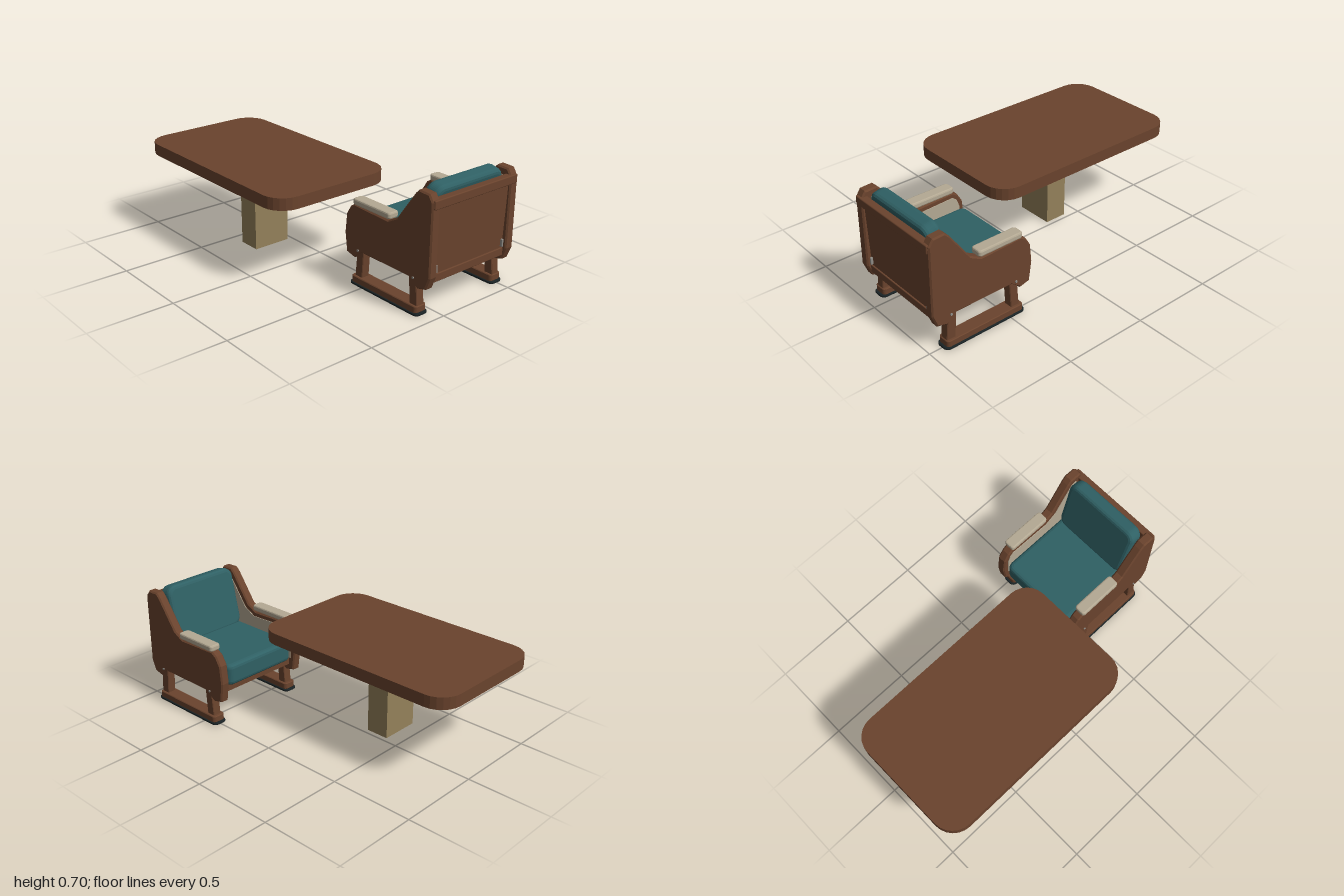
import * as THREE from 'three';
import { RoundedBoxGeometry } from 'three/addons/geometries/RoundedBoxGeometry.js';

const mat = (name, color, extra = {}) => {
  const m = new THREE.MeshStandardMaterial({ color, ...extra });
  m.name = name;
  return m;
};

// Rounded rectangle centred on the origin
function roundedRect(w, h, r) {
  const s = new THREE.Shape(), x = w / 2 - r, y = h / 2 - r;
  s.absarc(x, y, r, 0, Math.PI / 2);
  s.absarc(-x, y, r, Math.PI / 2, Math.PI);
  s.absarc(-x, -y, r, Math.PI, Math.PI * 1.5);
  s.absarc(x, -y, r, Math.PI * 1.5, Math.PI * 2);
  s.closePath();
  return s;
}

const polygon = (pts) => new THREE.Shape(pts.map(([x, y]) => new THREE.Vector2(x, y)));

// Extrusion centred on its thickness, with an inward bevel
function slab(shape, depth, bevel = 0, curveSegments = 3, bevelSegments = 1) {
  const g = new THREE.ExtrudeGeometry(shape, {
    depth: depth - 2 * bevel, bevelEnabled: bevel > 0, bevelSize: bevel, bevelThickness: bevel,
    bevelOffset: -bevel, bevelSegments, curveSegments,
  });
  return g.translate(0, 0, -(depth - 2 * bevel) / 2);
}

export function createModel() {
  const wood = mat('brown wood', 0x6a432d);
  const post = mat('pale wood', 0x94815a);
  const teal = mat('teal upholstery', 0x2f6064);
  const cream = mat('cream padding', 0xb4a993);
  const black = mat('black rubber', 0x1a2325);
  const metal = mat('grey metal', 0x8f8c86);

  const root = new THREE.Group();
  const add = (parent, name, geometry, material, x = 0, y = 0, z = 0) => {
    const m = new THREE.Mesh(geometry, material);
    m.name = name;
    m.position.set(x, y, z);
    parent.add(m);
    return m;
  };
  const box = (parent, name, material, [x0, x1], [y0, y1], [z0, z1], r = 0) => {
    const d = [x1 - x0, y1 - y0, z1 - z0];
    const g = r ? new RoundedBoxGeometry(...d, 2, r) : new THREE.BoxGeometry(...d);
    return add(parent, name, g, material, (x0 + x1) / 2, (y0 + y1) / 2, (z0 + z1) / 2);
  };

  // Table
  const table = new THREE.Group();
  table.name = 'table';
  root.add(table);
  add(table, 'tableTop', slab(roundedRect(1.32, 0.79, 0.13), 0.07).rotateX(-Math.PI / 2),
    wood, -0.34, 0.52, 0.145);
  box(table, 'tablePost', post, [-0.41, -0.27], [0, 0.485], [0.03, 0.265]);

  // Chair, built around its own centre line
  const chair = new THREE.Group();
  chair.name = 'chair';
  chair.position.z = -0.21;
  root.add(chair);

  const sideOutline = polygon([
    [0.341, 0.28], [0.357, 0.165], [0.421, 0.15], [0.485, 0.197], [0.843, 0.197], [0.9, 0.15],
    [0.96, 0.165], [0.988, 0.235], [0.988, 0.645], [0.962, 0.685], [0.89, 0.688], [0.864, 0.662],
    [0.741, 0.49], [0.677, 0.455], [0.416, 0.464], [0.384, 0.443], [0.352, 0.39],
  ]);
  const liningOutline = polygon([
    [0.375, 0.24], [0.93, 0.24], [0.93, 0.645], [0.895, 0.645], [0.765, 0.465], [0.69, 0.425],
    [0.42, 0.435], [0.395, 0.415], [0.378, 0.37],
  ]);
  const legs = {
    frontLeg: [[0.43, 0.045], [0.485, 0.045], [0.497, 0.23], [0.445, 0.23]],
    backLeg: [[0.85, 0.045], [0.907, 0.045], [0.89, 0.23], [0.838, 0.23]],
  };

  for (const s of [1, -1]) {
    const side = new THREE.Group();
    side.name = s > 0 ? 'leftSide' : 'rightSide';
    chair.add(side);
    const z = s * 0.288;
    add(side, 'sidePanel', slab(sideOutline, 0.056, 0.008), wood, 0, 0, z);
    add(side, 'sideLining', slab(liningOutline, 0.006), cream, 0, 0, s * 0.259);
    for (const [name, pts] of Object.entries(legs))
      add(side, name, slab(polygon(pts), 0.052, 0.004), wood, 0, 0, z);

    // Skid with its rubber foot
    add(side, 'skid', slab(roundedRect(0.5, 0.082, 0.02), 0.04, 0.004).rotateX(-Math.PI / 2),
      wood, 0.662, 0.032, z);
    add(side, 'footPad', slab(roundedRect(0.525, 0.093, 0.03), 0.014, 0.003).rotateX(-Math.PI / 2),
      black, 0.662, 0.007, z);

    // Arm pad
    add(side, 'armPad', slab(roundedRect(0.285, 0.072, 0.018), 0.036, 0.009, 3, 2)
      .rotateX(-Math.PI / 2), cream, 0.553, 0.482, s * 0.289);

    // Bolts and rear brackets
    for (const x of [0.453, 0.875])
      add(side, 'bolt', new THREE.CylinderGeometry(0.007, 0.007, 0.008, 8).rotateX(Math.PI / 2),
        metal, x, 0.205, s * 0.318);
    box(side, 'bracket', metal, [0.955, 0.975], [0.245, 0.29], [s * 0.25 - 0.006, s * 0.25 + 0.006], 0.004);
  }

  // Back board and rails
  const back = box(chair, 'backBoard', wood, [0.945, 0.967], [0.2, 0.64], [-0.262, 0.262]);
  back.rotation.z = -0.04;
  box(chair, 'topRail', wood, [0.95, 0.995], [0.605, 0.655], [-0.305, 0.305], 0.006);
  box(chair, 'bottomRail', wood, [0.925, 0.968], [0.192, 0.238], [-0.262, 0.262], 0.004);

  // Seat frame
  box(chair, 'seatBoard', wood, [0.39, 0.93], [0.215, 0.24], [-0.262, 0.262]);
  box(chair, 'frontRail', wood, [0.39, 0.425], [0.195, 0.24], [-0.262, 0.262]);

  // Cushions
  add(chair, 'seatCushion', slab(roundedRect(0.49, 0.496, 0.04), 0.13, 0.025, 4, 3)
    .rotateX(-Math.PI / 2), teal, 0.6, 0.302, 0);
  const backCushion = add(chair, 'backCushion',
    slab(roundedRect(0.5, 0.37, 0.06), 0.09, 0.025, 5, 3).rotateY(-Math.PI / 2), teal, 0.872, 0.52, 0);
  backCushion.rotation.z = -0.22;

  return root;
}
